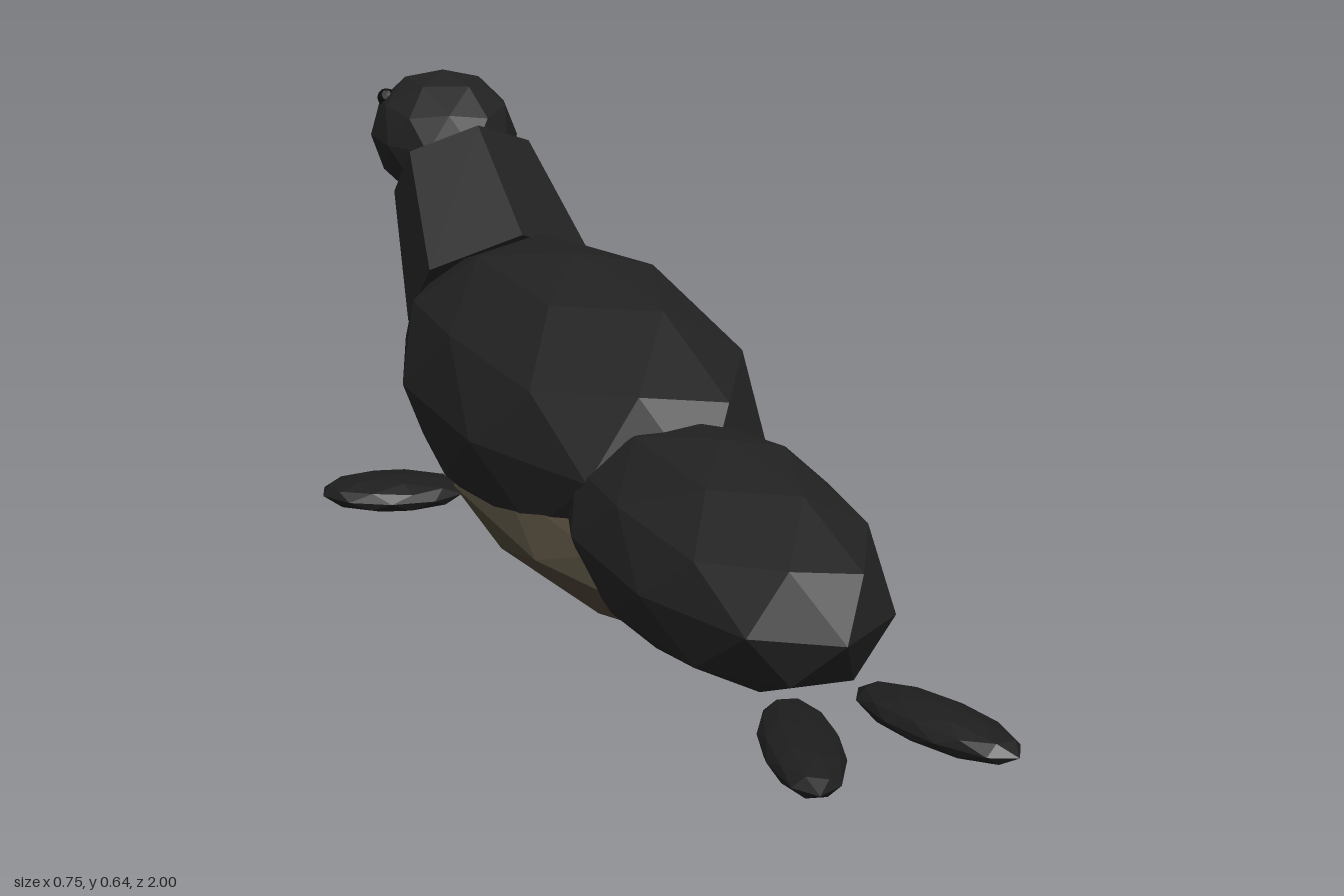
import * as THREE from 'three';

const material = (name, color) => {
  const m = new THREE.MeshStandardMaterial({ color });
  m.name = name;
  return m;
};

// Faceted ball with a vertex at each pole, scaled to the given radii
function facetedBall(rx, ry, rz) {
  const geometry = new THREE.IcosahedronGeometry(1, 1);
  geometry.rotateZ(-Math.atan(2 / (1 + Math.sqrt(5))));
  geometry.scale(rx, ry, rz);
  geometry.computeVertexNormals();
  return geometry;
}

export function createModel() {
  const fur = material('dark fur', 0x222222);
  const bellyFur = material('brown belly fur', 0x4a4335);
  const flipperSkin = material('flipper skin', 0x1e1e1e);
  const black = material('black', 0x0c0c0c);
  const model = new THREE.Group();
  model.name = 'seal';

  const add = (name, geometry, mat, x, y, z) => {
    const mesh = new THREE.Mesh(geometry, mat);
    mesh.name = name;
    mesh.position.set(x, y, z);
    model.add(mesh);
    return mesh;
  };
  const ball = (name, radii, mat, position) => add(name, facetedBall(...radii), mat, ...position);

  // Torso, hindquarters and pale underside
  ball('body', [0.252, 0.235, 0.5], fur, [0, 0.235, -0.16]);
  ball('hindquarters', [0.192, 0.165, 0.4], fur, [0, 0.167, 0.39]);
  ball('belly', [0.214, 0.1, 0.57], bellyFur, [0, 0.101, 0]);

  // Six-sided neck, leaning forward
  const neck = new THREE.CylinderGeometry(0.125, 0.165, 0.245, 6).toNonIndexed();
  neck.computeVertexNormals();
  add('neck', neck, fur, 0, 0.407, -0.596).rotation.x = -0.8;

  // Head
  ball('head', [0.125, 0.115, 0.15], fur, [0, 0.53, -0.77]);
  ball('snout', [0.067, 0.054, 0.072], fur, [0, 0.49, -0.918]);
  ball('nose', [0.03, 0.022, 0.025], black, [0, 0.5, -0.975]);

  // Mirrored eyes and flippers
  for (const side of [1, -1]) {
    const label = side > 0 ? 'left' : 'right';
    ball(label + 'Eye', [0.016, 0.016, 0.016], black, [side * 0.086, 0.592, -0.825]);
    const front = ball(label + 'FrontFlipper', [0.118, 0.028, 0.07], flipperSkin, [side * 0.263, 0.059, -0.307]);
    front.rotation.y = side * 0.35;
    const rear = ball(label + 'RearFlipper', [0.055, 0.028, 0.148], flipperSkin, [side * 0.1, 0.07, 0.858]);
    rear.rotation.y = side * 0.3;
  }
  return model;
}
